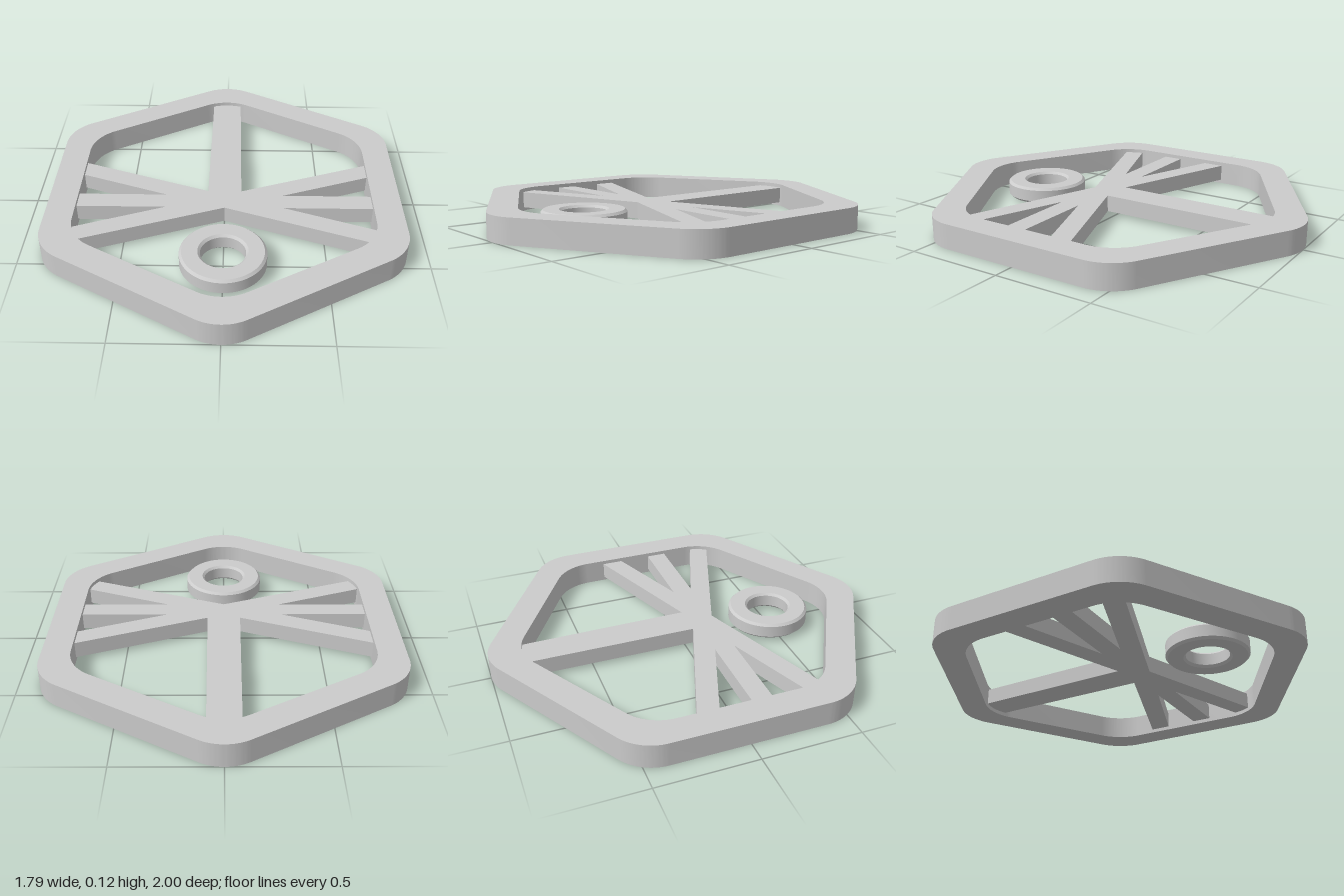
import * as THREE from 'three';
import { toCreasedNormals } from 'three/addons/utils/BufferGeometryUtils.js';

const material = new THREE.MeshStandardMaterial({ color: 0xcccccc });

// Hexagon outline with rounded corners, one corner on each end of z
function roundedHexagon(path, apothem, radius) {
  const centreDistance = (apothem - radius) / Math.cos(Math.PI / 6);
  for (let i = 0; i < 6; i++) {
    const a = Math.PI / 6 + i * Math.PI / 3;
    path.absarc(Math.cos(a) * centreDistance, Math.sin(a) * centreDistance,
      radius, a - Math.PI / 6, a + Math.PI / 6, false);
  }
  path.closePath();
  return path;
}

// Lay an outline drawn in x and z flat, between two heights
function slab(name, shape, bottom, top) {
  const geometry = new THREE.ExtrudeGeometry(shape, {
    depth: top - bottom, bevelEnabled: false, curveSegments: 16,
  });
  geometry.rotateX(Math.PI / 2).translate(0, top, 0);
  const mesh = new THREE.Mesh(toCreasedNormals(geometry, 0.5), material);
  mesh.name = name;
  return mesh;
}

export function createModel() {
  const group = new THREE.Group();
  group.name = 'hexagonalFrameWithSpokes';
  const low = 0.02, high = 0.105;

  // Outer frame
  const frame = roundedHexagon(new THREE.Shape(), 0.897, 0.23);
  frame.holes.push(roundedHexagon(new THREE.Path(), 0.753, 0.23));
  group.add(slab('frame', frame, 0, 0.125));

  // Long back bar and three spokes to each side, ends sunk into the frame
  const half = [
    [0.08, -0.87], [0.086, 0.037], [0.8, -0.223], [0.8, -0.113],
    [0.3, 0.071], [0.8, 0.071], [0.8, 0.174], [0.3, 0.174],
    [0.8, 0.36], [0.74, 0.445],
  ];
  const outline = [...half, [0, 0.176], ...half.map(([x, z]) => [-x, z]).reverse()];
  const spokes = new THREE.Shape(outline.map(([x, z]) => new THREE.Vector2(x, z)));
  group.add(slab('spokes', spokes, low, high));

  // Loose ring in front of the spokes, with softened edges
  const inner = 0.11, outer = 0.211, b = 0.012;
  const profile = [
    [inner, low + b], [inner + b, low], [outer - b, low], [outer, low + b],
    [outer, high - b], [outer - b, high], [inner + b, high], [inner, high - b],
    [inner, low + b],
  ].map(([r, y]) => new THREE.Vector2(r, y));
  const ringGeometry = toCreasedNormals(new THREE.LatheGeometry(profile, 64), 0.5);
  const ring = new THREE.Mesh(ringGeometry, material);
  ring.name = 'ring';
  ring.position.z = 0.505;
  group.add(ring);

  return group;
}
